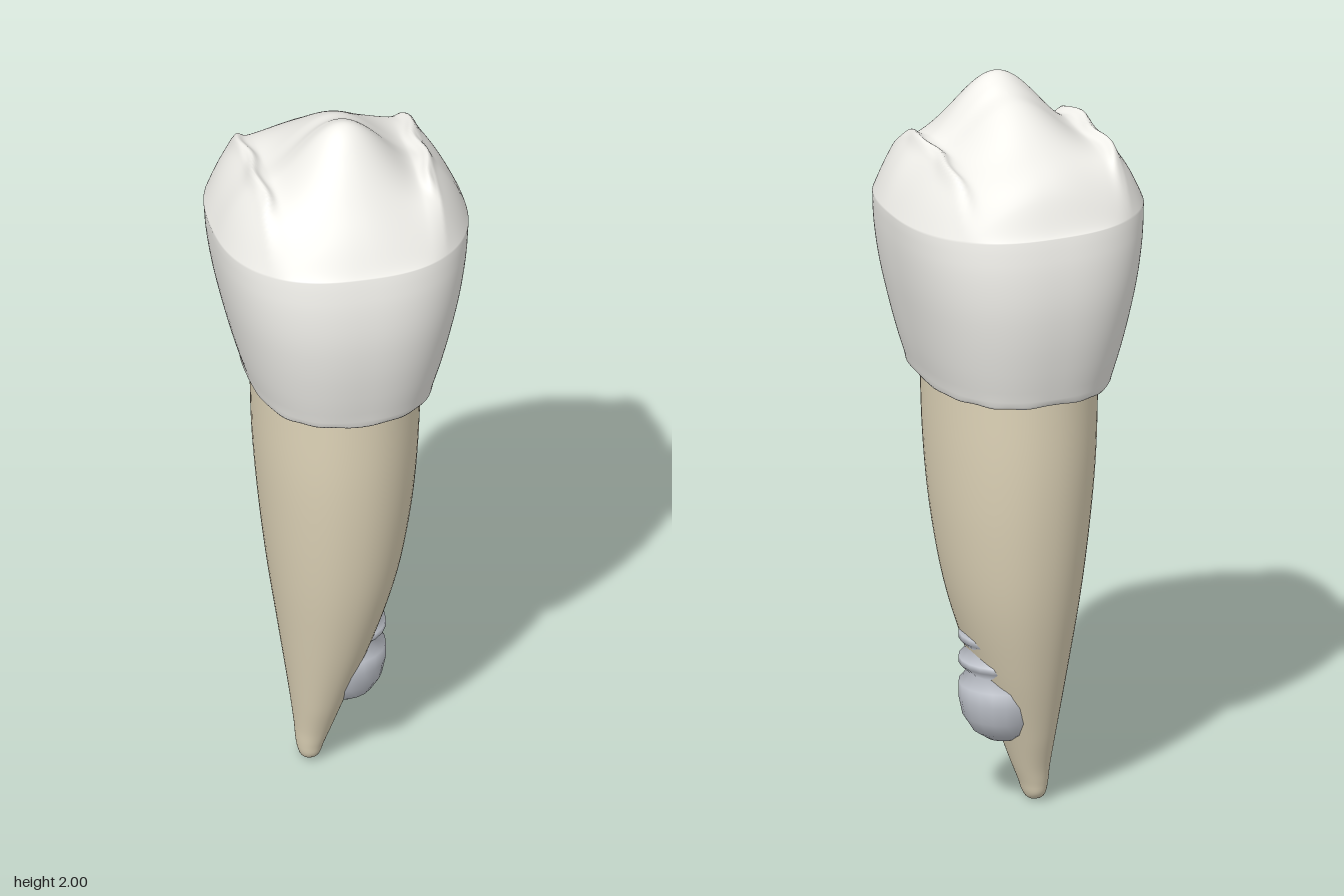
import * as THREE from 'three';

// Smooth interpolation through sorted [position, value, ...] points (cubic Hermite)
function curve(points, k = 1) {
  const n = points.length;
  const slope = i => {
    const a = points[Math.max(i - 1, 0)], b = points[Math.min(i + 1, n - 1)];
    return (b[k] - a[k]) / (b[0] - a[0]);
  };
  return t => {
    t = THREE.MathUtils.clamp(t, points[0][0], points[n - 1][0]);
    let i = 0;
    while (i < n - 2 && t > points[i + 1][0]) i++;
    const [p, q] = [points[i], points[i + 1]], d = q[0] - p[0], u = (t - p[0]) / d;
    return p[k] * (2 * u ** 3 - 3 * u * u + 1) + q[k] * (3 * u * u - 2 * u ** 3)
      + d * (slope(i) * (u ** 3 - 2 * u * u + u) + slope(i + 1) * (u ** 3 - u * u));
  };
}

// Point on a superellipse: exponent 2 is an ellipse, larger is squarer
function outline(angle, a, c, e) {
  const f = v => Math.sign(v) * Math.abs(v) ** (2 / e);
  return [a * f(Math.cos(angle)), c * f(Math.sin(angle))];
}

// Skin closed rings, listed from bottom to top; each ring maps an angle to [x, y, z]
function loft(rings, sides) {
  const pos = [], index = [];
  rings.forEach((ring, r) => {
    for (let i = 0; i < sides; i++) {
      pos.push(...ring(i / sides * Math.PI * 2));
      if (r === 0) continue;
      const j = (i + 1) % sides, lo = (r - 1) * sides, hi = r * sides;
      index.push(lo + i, hi + i, lo + j, lo + j, hi + i, hi + j);
    }
  });
  const g = new THREE.BufferGeometry();
  g.setAttribute('position', new THREE.Float32BufferAttribute(pos, 3));
  g.setIndex(index);
  g.computeVertexNormals();
  return g;
}

function part(name, geometry, color, flatShading = false) {
  const material = new THREE.MeshStandardMaterial({ color, flatShading, side: THREE.DoubleSide });
  const mesh = new THREE.Mesh(geometry, material);
  mesh.name = name;
  return mesh;
}

// Height of the biting surface: one central cusp between two side ridges
const cuspLine = curve([[-0.34, 1.7], [-0.28, 1.79], [-0.2, 1.85], [-0.12, 1.91], [-0.05, 1.95], [0, 1.965],
  [0.035, 1.985], [0.08, 2], [0.12, 1.98], [0.17, 1.925], [0.25, 1.82], [0.34, 1.71]]);
const sideLine = curve([[-0.34, 1.68], [-0.28, 1.75], [-0.18, 1.825], [0, 1.845], [0.08, 1.848],
  [0.2, 1.81], [0.28, 1.74], [0.34, 1.68]]);
function biteHeight(x, z) {
  const ax = Math.abs(x);
  const bell = ax < 0.19 ? Math.cos(ax / 0.19 * Math.PI / 2) ** 1.5 : 0;
  const along = THREE.MathUtils.smoothstep(z, -0.28, -0.18) * (1 - THREE.MathUtils.smoothstep(z, 0.14, 0.2));
  const centre = 0.222 + 0.008 * Math.sin(z * 34);
  const ridge = 0.016 * along * Math.exp(-(((ax - centre) / 0.014) ** 2));
  return sideLine(z) + (cuspLine(z) - sideLine(z)) * bell + ridge - Math.max(0, ax - 0.235) * 1.1;
}

function crownGeometry() {
  const rimY = 1.68, e = 2.5, rings = [];
  // Rolled neck edge, then the bulging wall: [y, half width, half depth]
  const neck = [[1.215, 0.19, 0.26], [1.205, 0.222, 0.293], [1.204, 0.235, 0.304], [1.212, 0.241, 0.31]];
  const wall = [[1.225, 0.243, 0.313], [1.3, 0.265, 0.332], [1.4, 0.29, 0.351], [1.5, 0.312, 0.36],
    [1.6, 0.328, 0.355], [rimY, 0.335, 0.34]];
  const width = curve(wall), depth = curve(wall, 2);
  const wallRing = (y, a, c, wave) => t => {
    const [x, z] = outline(t, a, c, e);
    return [x, y + wave * Math.sin(t * 11) * Math.cos(t * 4), z];
  };
  neck.forEach(([y, a, c]) => rings.push(wallRing(y, a, c, 0.003)));
  for (let i = 0; i <= 16; i++) {
    const y = 1.225 + (rimY - 1.225) * i / 16;
    rings.push(wallRing(y, width(y), depth(y), 0));
  }
  // Rings shrinking to the centre over the biting surface
  const steps = 64;
  for (let i = 1; i <= steps; i++) {
    const s = Math.max(1 - (i / steps) ** 1.25, 0.0005);
    rings.push(t => {
      const [x, z] = outline(t, 0.335 * s, 0.34 * s, e);
      return [x, rimY + (biteHeight(x, z) - rimY) * (1 - s ** 14), z];
    });
  }
  return loft(rings, 160);
}

function rootGeometry() {
  // [y, right edge, left edge, half depth]
  const edges = [[0, -0.071, -0.069, 0.001], [0.004, -0.09, -0.055, 0.02], [0.02, -0.1, -0.044, 0.04],
    [0.05, -0.106, -0.034, 0.05], [0.1, -0.11, -0.015, 0.065], [0.2, -0.122, 0.02, 0.102],
    [0.4, -0.15, 0.095, 0.167], [0.6, -0.178, 0.155, 0.22], [0.8, -0.2, 0.19, 0.255],
    [1, -0.215, 0.208, 0.276], [1.24, -0.22, 0.216, 0.285]];
  const [lo, hi, depth] = [1, 2, 3].map(k => curve(edges, k));
  const rings = [];
  for (let i = 0; i <= 60; i++) {
    const y = 1.24 * (i / 60) ** 2;
    rings.push(t => {
      const [x, z] = outline(t, (hi(y) - lo(y)) / 2, depth(y), 2.1);
      return [(hi(y) + lo(y)) / 2 + x, y, z];
    });
  }
  return loft(rings, 64);
}

function screwGeometry() {
  // Rounded lower end, then evenly spaced threads up inside the root
  const profile = [[0, 0.183], [0.045, 0.186], [0.08, 0.21], [0.105, 0.25], [0.115, 0.3], [0.115, 0.34]];
  for (let y = 0.37; y < 0.6; y += 0.068) profile.push([0.09, y], [0.115, y + 0.024], [0.115, y + 0.04]);
  profile.push([0, 0.61]);
  return new THREE.LatheGeometry(profile.map(p => new THREE.Vector2(...p)), 20);
}

export function createModel() {
  const model = new THREE.Group();
  model.name = 'tooth';
  const screw = part('embeddedScrew', screwGeometry(), 0xc2c6ce);
  screw.position.x = 0.015;
  model.add(
    part('crown', crownGeometry(), 0xf0efea),
    part('root', rootGeometry(), 0xe0d5b9),
    screw,
  );
  return model;
}
